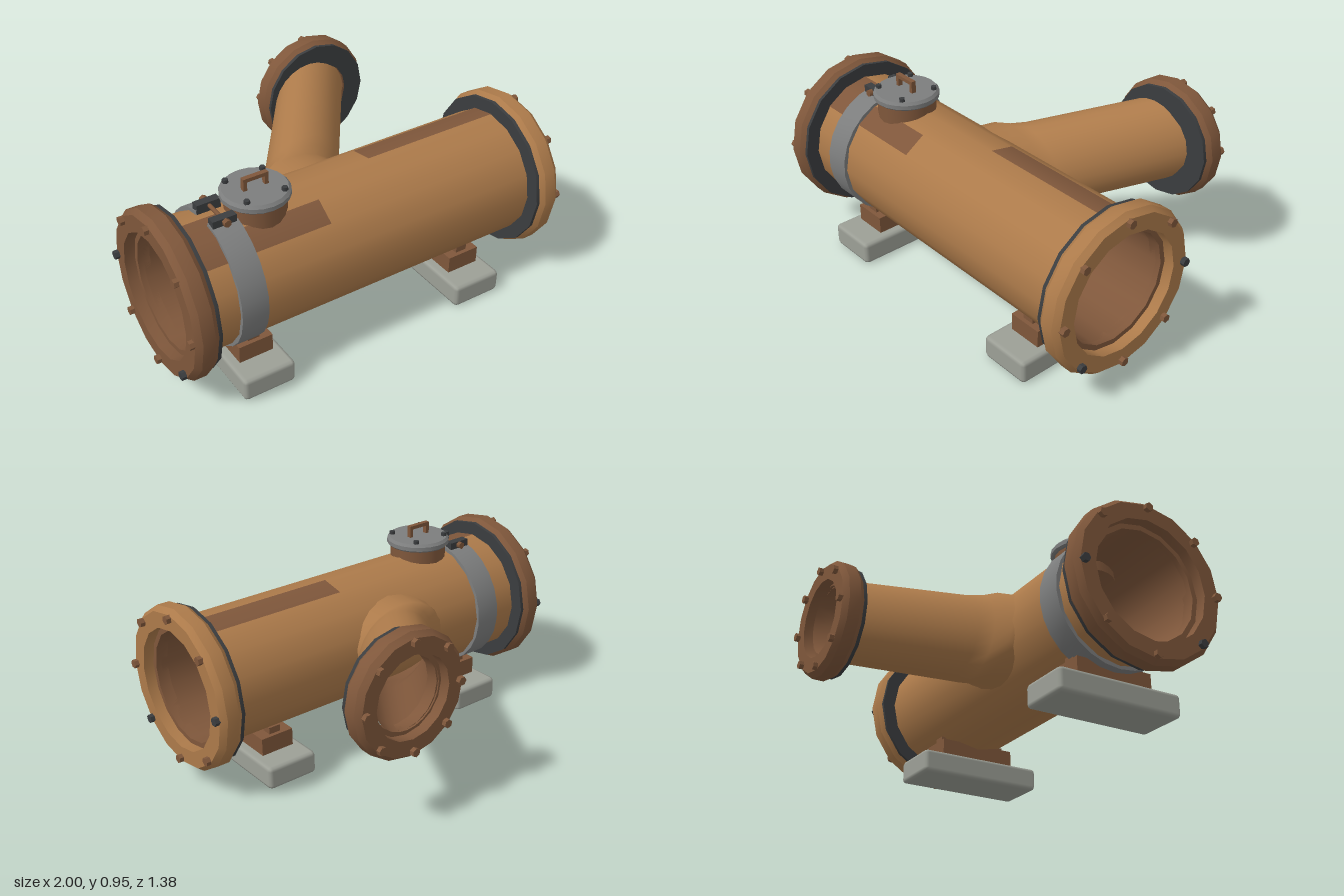
import * as THREE from 'three';
import { toCreasedNormals } from 'three/addons/utils/BufferGeometryUtils.js';
import { RoundedBoxGeometry } from 'three/addons/geometries/RoundedBoxGeometry.js';

const CY = 0.49, CZ = 0.29; // axis of the main pipe
const SIDES = 16;

function material(name, color) {
  const m = new THREE.MeshStandardMaterial({ color });
  m.name = name;
  return m;
}

function add(parent, name, geometry, mat, x = 0, y = 0, z = 0) {
  const mesh = new THREE.Mesh(geometry, mat);
  mesh.name = name;
  mesh.position.set(x, y, z);
  parent.add(mesh);
  return mesh;
}

function lathe(points, sides = SIDES, start = 0, length = Math.PI * 2) {
  const profile = points.map(([r, y]) => new THREE.Vector2(r, y));
  return toCreasedNormals(new THREE.LatheGeometry(profile, sides, start, length), 0.6);
}

// Smooth skin through closed loops of [x, y, z] points
function loft(loops, inward = false) {
  const n = loops[0].length, index = [];
  for (let i = 0; i < loops.length - 1; i++) {
    for (let j = 0; j < n; j++) {
      const k = (j + 1) % n;
      const a = i * n + j, b = i * n + k, c = a + n, d = b + n;
      if (inward) index.push(a, c, b, b, c, d);
      else index.push(a, b, c, b, d, c);
    }
  }
  const g = new THREE.BufferGeometry();
  g.setAttribute('position', new THREE.Float32BufferAttribute(loops.flat(2), 3));
  g.setIndex(index);
  g.computeVertexNormals();
  return g;
}

// Loops of the slanting branch; the last one follows the main pipe wall
function branchLoops(wall) {
  const rings = [
    [0.39, 0.655, -0.63, 0.205, 0.205],
    [0.35, 0.645, -0.55, 0.205, 0.205],
    [0.02, 0.53, -0.11, 0.22, 0.21],
    [-0.03, 0.515, -0.06, 0.235, 0.212],
    [-0.09, 0.503, -0.02, 0.26, 0.216],
    [-0.1, 0.495, null, 0.285, 0.23],
  ];
  const n = 24;
  return rings.map(([cx, cy, z, rx, ry]) => Array.from({ length: n }, (_, j) => {
    const a = (j / n) * Math.PI * 2;
    const y = cy + (ry - wall) * Math.sin(a);
    const onPipe = CZ - Math.sqrt(0.285 ** 2 - (y - CY) ** 2);
    return [cx + (rx - wall) * Math.cos(a), y, z ?? onPipe];
  }));
}

export function createModel() {
  const model = new THREE.Group();
  model.name = 'pipeJunction';
  const ochre = material('ochrePaint', 0xac7a4a);
  const rust = material('rust', 0x7f573b);
  const steel = material('greySteel', 0x7c7d7d);
  const dark = material('darkRubber', 0x3b3d3f);
  const concrete = material('concrete', 0x9c9f96);

  // Flange with gasket and hex bolts, its face towards local +y
  function flange(name, R, bore, boltR, mat, darkBolts) {
    const g = new THREE.Group();
    g.name = name;
    const seat = bore + 0.025;
    add(g, 'flangeRing', lathe([
      [bore, 0], [R - 0.02, 0], [R, 0.025], [R, 0.085], [R - 0.022, 0.112],
      [seat, 0.112], [seat, 0.06],
    ]), mat);
    add(g, 'flangeSeat', lathe([[seat, 0.06], [bore, 0.06], [bore, 0]]), rust);
    add(g, 'gasket', lathe([
      [bore, -0.015], [R - 0.018, -0.015], [R - 0.018, 0.005], [bore, 0.005],
    ]), dark);
    for (let i = 0; i < 8; i++) {
      const a = (i * Math.PI) / 4;
      const bolt = add(g, 'flangeBolt', toCreasedNormals(new THREE.CylinderGeometry(0.021, 0.021, 0.03, 6), 0.5),
        darkBolts.includes(i) ? dark : rust, boltR * Math.sin(a), 0.119, boltR * Math.cos(a));
      bolt.rotation.y = a;
    }
    model.add(g);
    return g;
  }

  // Main pipe, lying along x
  const pipe = new THREE.Group();
  pipe.name = 'mainPipe';
  pipe.position.set(0, CY, CZ);
  pipe.rotation.z = -Math.PI / 2;
  model.add(pipe);
  add(pipe, 'pipeOuter', new THREE.CylinderGeometry(0.31, 0.31, 1.8, SIDES, 1, true), ochre);
  add(pipe, 'pipeInner', lathe([[0.27, 0.9], [0.27, -0.9]]), rust);

  // Rust patches: x range and wall sector counted from the top towards +z
  for (const [x0, x1, sector] of [[-0.87, -0.22, 1], [-0.87, -0.66, 0], [0.13, 0.87, -1]]) {
    const step = Math.PI / 8;
    add(pipe, 'rustPatch', new THREE.CylinderGeometry(0.313, 0.313, x1 - x0, 1, 1, true,
      sector * step - Math.PI / 2, step), rust, 0, (x0 + x1) / 2, 0);
  }

  // Clamp band with a gap at the top
  const gap = 0.155;
  add(pipe, 'clampBand', lathe([
    [0.3, -0.065], [0.325, -0.065], [0.325, 0.065], [0.3, 0.065],
  ], 24, gap - Math.PI / 2, Math.PI * 2 - 2 * gap), steel, 0, -0.665, 0);
  for (const s of [-1, 1]) {
    add(model, 'clampLug', new THREE.BoxGeometry(0.115, 0.05, 0.04), dark, -0.668, 0.81, CZ + s * 0.07);
  }
  const clampBolt = add(model, 'clampBolt', new THREE.CylinderGeometry(0.01, 0.01, 0.22, 8), rust, -0.665, 0.818, CZ);
  clampBolt.rotation.x = Math.PI / 2;
  for (const s of [-1, 1]) {
    const nut = add(model, 'clampNut', new THREE.CylinderGeometry(0.018, 0.018, 0.022, 6), rust,
      -0.665, 0.818, CZ + s * 0.101);
    nut.rotation.x = Math.PI / 2;
  }

  // Slanting branch
  add(model, 'branchOuter', loft(branchLoops(0)), ochre);
  add(model, 'branchInner', loft(branchLoops(0.03), true), rust);

  // Three flanges
  const plus = flange('leftFlange', 0.395, 0.27, 0.355, ochre, [1, 4]);
  plus.position.set(0.868, CY, CZ);
  plus.rotation.z = -Math.PI / 2;
  const minus = flange('rightFlange', 0.395, 0.27, 0.355, rust, [7, 4]);
  minus.position.set(-0.868, CY, CZ);
  minus.rotation.z = Math.PI / 2;
  const back = flange('branchFlange', 0.298, 0.175, 0.258, rust, []);
  back.position.set(0.39, 0.652, -0.557);
  back.rotation.x = -Math.PI / 2;

  // Inspection hatch
  const hatch = new THREE.Group();
  hatch.name = 'hatch';
  hatch.position.set(-0.478, 0, 0.307);
  model.add(hatch);
  add(hatch, 'hatchNeck', new THREE.CylinderGeometry(0.14, 0.14, 0.14, 20, 1, true), rust, 0, 0.78, 0);
  add(hatch, 'hatchLid', lathe([
    [0, 0.845], [0.15, 0.845], [0.158, 0.853], [0.158, 0.873], [0.146, 0.886], [0, 0.886],
  ], 20), steel);
  for (const sx of [-1, 1]) {
    for (const sz of [-1, 1]) {
      add(hatch, 'lidBolt', new THREE.CylinderGeometry(0.014, 0.014, 0.025, 6), dark, sx * 0.093, 0.89, sz * 0.093);
    }
    add(hatch, 'handlePost', new THREE.BoxGeometry(0.018, 0.06, 0.024), rust, sx * 0.053, 0.912, 0);
  }
  add(hatch, 'handleBar', new THREE.BoxGeometry(0.124, 0.018, 0.024), rust, 0, 0.936, 0);

  // Supports
  for (const x of [-0.602, 0.578]) {
    const support = new THREE.Group();
    support.name = 'support';
    support.position.set(x, 0, CZ);
    model.add(support);
    add(support, 'concreteBlock', new RoundedBoxGeometry(0.264, 0.115, 0.65, 1, 0.02), concrete, 0, 0.0575, 0);
    add(support, 'saddle', new THREE.BoxGeometry(0.172, 0.09, 0.4), rust, 0, 0.157, 0);
    for (const s of [-1, 1]) {
      add(support, 'saddleStud', new THREE.BoxGeometry(0.06, 0.045, 0.05), rust, 0, 0.213, s * 0.155);
    }
  }
  return model;
}
